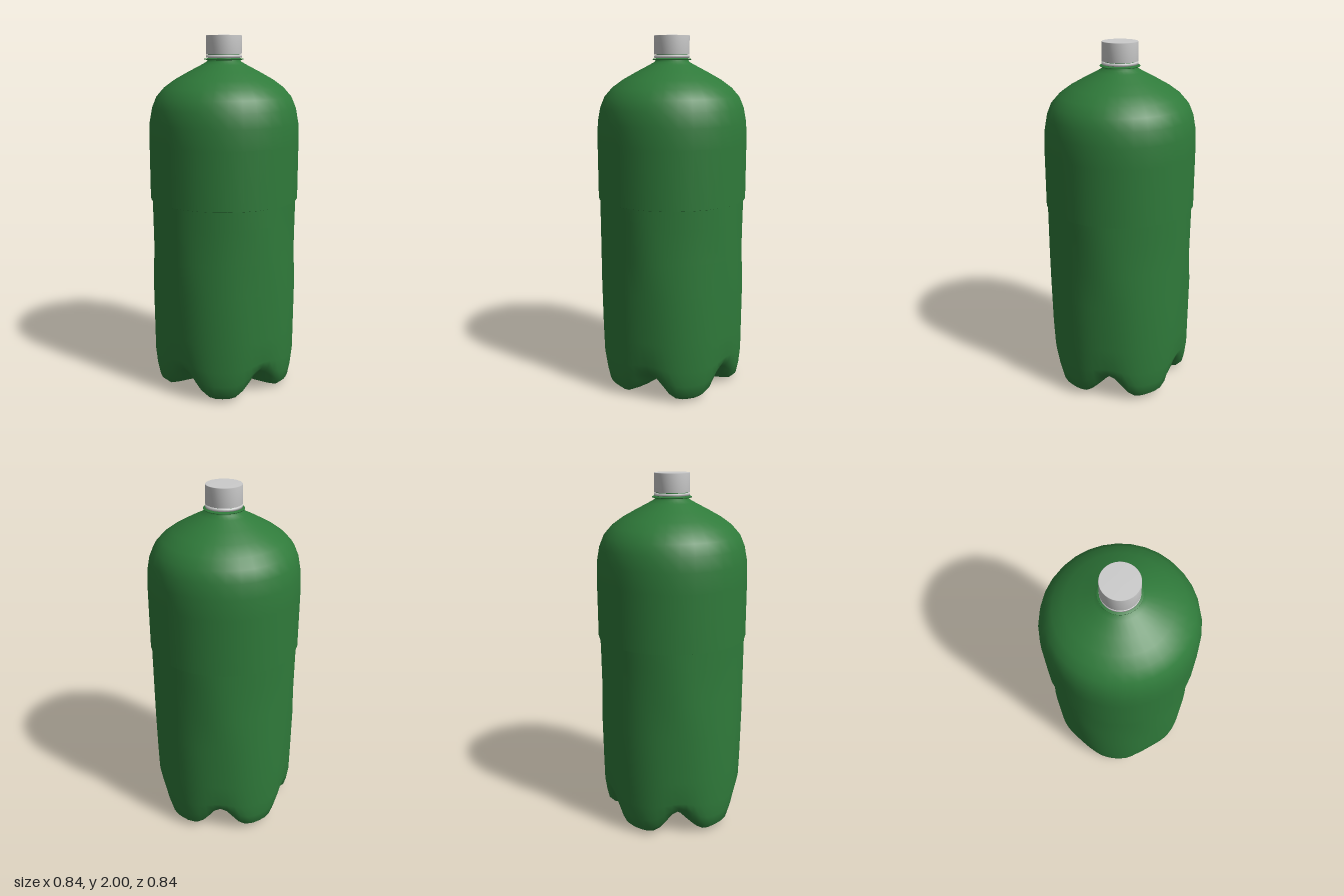
import * as THREE from 'three';

const green = new THREE.MeshStandardMaterial({ color: 0x2f7a3a, side: THREE.DoubleSide });
const grey = new THREE.MeshStandardMaterial({ color: 0xcccccc });

function lathe(name, profile, material, sides = 32) {
  const points = profile.map(([r, y]) => new THREE.Vector2(r, y));
  const mesh = new THREE.Mesh(new THREE.LatheGeometry(points, sides), material);
  mesh.name = name;
  return mesh;
}

// Lower body: each ring blends between a foot profile and a valley profile, five times round
function petalBody() {
  const foot = [[0, 0.025], [0.12, 0.015], [0.24, 0.002], [0.31, 0], [0.355, 0.004], [0.39, 0.035],
    [0.403, 0.1], [0.412, 0.19], [0.413, 0.35], [0.415, 0.62], [0.406, 0.8], [0.408, 1.0], [0.41, 1.1]];
  const valley = [[0, 0.025], [0.1, 0.032], [0.18, 0.055], [0.25, 0.088], [0.31, 0.12], [0.355, 0.15],
    [0.382, 0.18], [0.4, 0.22], [0.406, 0.35], [0.411, 0.62], [0.413, 0.8], [0.413, 1.0], [0.413, 1.1]];
  const sides = 60, positions = [], index = [];
  foot.forEach(([fr, fy], i) => {
    const [vr, vy] = valley[i];
    for (let j = 0; j < sides; j++) {
      const angle = (j / sides) * Math.PI * 2;
      const w = ((1 - Math.cos(5 * angle)) / 2) ** 2;
      const r = THREE.MathUtils.lerp(fr, vr, w);
      positions.push(r * Math.cos(angle), THREE.MathUtils.lerp(fy, vy, w), r * Math.sin(angle));
      if (i === foot.length - 1) continue;
      const a = i * sides + j, b = i * sides + (j + 1) % sides;
      if (i > 0) index.push(a, b + sides, b);
      index.push(a, a + sides, b + sides);
    }
  });
  const geometry = new THREE.BufferGeometry();
  geometry.setAttribute('position', new THREE.Float32BufferAttribute(positions, 3));
  geometry.setIndex(index);
  geometry.computeVertexNormals();
  const mesh = new THREE.Mesh(geometry, green);
  mesh.name = 'lowerBody';
  return mesh;
}

export function createModel() {
  const bottle = new THREE.Group();
  bottle.name = 'bottle';
  bottle.add(petalBody());

  // Small step above the recessed grip area
  bottle.add(lathe('bodyStep', [[0.408, 1.098], [0.42, 1.102]], green));

  // Upper body, shoulder and neck
  bottle.add(lathe('upperBody', [[0.42, 1.102], [0.42, 1.42], [0.416, 1.53], [0.401, 1.61], [0.376, 1.67],
    [0.332, 1.72], [0.272, 1.763], [0.2, 1.803], [0.125, 1.842], [0.097, 1.858], [0.088, 1.872],
    [0.086, 1.91]], green));

  // Neck flange
  bottle.add(lathe('neckFlange', [[0.085, 1.866], [0.109, 1.87], [0.109, 1.874], [0.085, 1.878]], green));

  // Tamper band and screw cap
  bottle.add(lathe('capBand', [[0.085, 1.879], [0.098, 1.88], [0.099, 1.893], [0.085, 1.894]], grey));
  bottle.add(lathe('cap', [[0.085, 1.897], [0.098, 1.898], [0.098, 1.998], [0.096, 2], [0, 2]], grey));
  return bottle;
}
